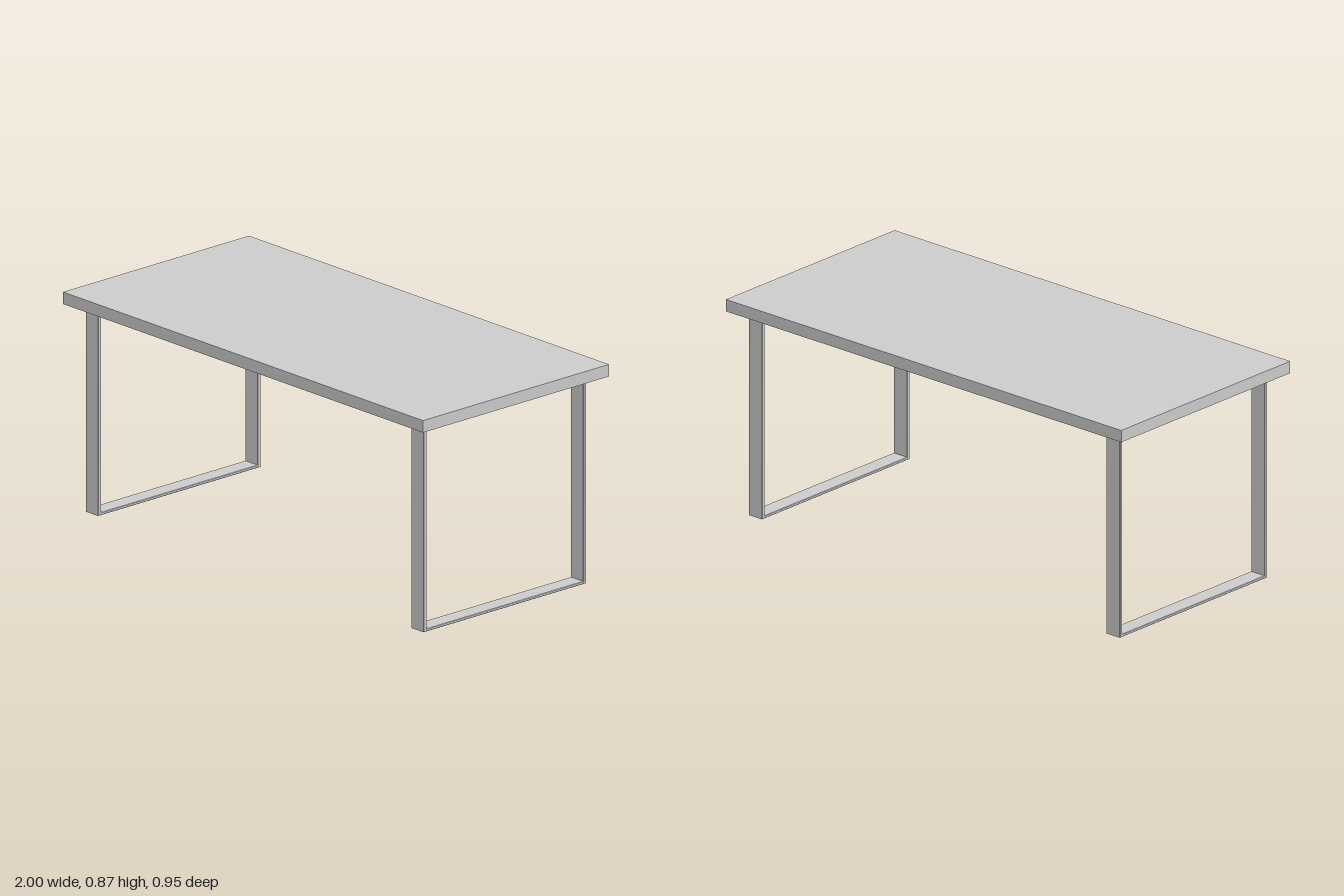
import * as THREE from 'three';

const TOP_Y = 0.825, TOP_H = 0.048, TOP_W = 2, TOP_D = 0.95;
const LEG_X = 0.904, LEG_W = 0.07;      // centre and width of each leg frame
const OUT_Z = 0.415, IN_Z = 0.4, RAIL_H = 0.011;
const BEVEL = 0.002;

// U-shaped flat-bar frame: two uprights joined by a floor rail
function legFrameGeometry() {
  const top = TOP_Y + BEVEL;            // ends sit just inside the tabletop
  const outline = new THREE.Shape([
    [-OUT_Z, 0], [OUT_Z, 0], [OUT_Z, top], [IN_Z, top],
    [IN_Z, RAIL_H], [-IN_Z, RAIL_H], [-IN_Z, top], [-OUT_Z, top],
  ].map(([x, y]) => new THREE.Vector2(x, y)));
  const depth = LEG_W - 2 * BEVEL;
  return new THREE.ExtrudeGeometry(outline, {
    depth, bevelEnabled: true, bevelSegments: 1,
    bevelSize: BEVEL, bevelThickness: BEVEL, bevelOffset: -BEVEL,
  }).translate(0, 0, -depth / 2).rotateY(Math.PI / 2);
}

export function createModel() {
  const table = new THREE.Group();
  table.name = 'table';
  const material = new THREE.MeshStandardMaterial({ color: 0xcccccc });

  // Tabletop slab
  const top = new THREE.Mesh(new THREE.BoxGeometry(TOP_W, TOP_H, TOP_D), material);
  top.name = 'tabletop';
  top.position.y = TOP_Y + TOP_H / 2;
  table.add(top);

  // Leg frame at each end
  const frame = legFrameGeometry();
  for (const [name, side] of [['leftLegFrame', 1], ['rightLegFrame', -1]]) {
    const leg = new THREE.Mesh(frame, material);
    leg.name = name;
    leg.position.x = side * LEG_X;
    table.add(leg);
  }
  return table;
}
